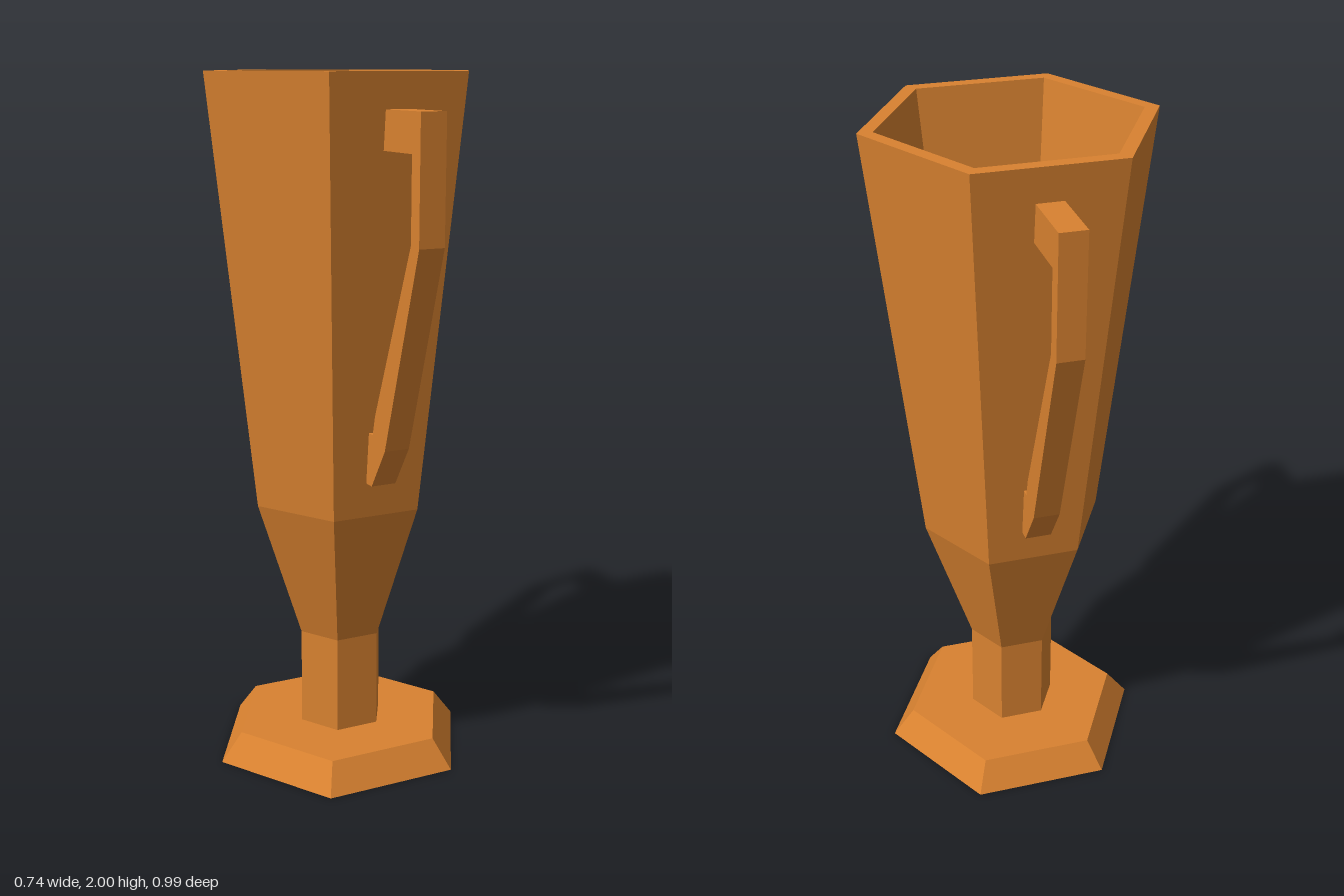
import * as THREE from 'three';

const TWIST = THREE.MathUtils.degToRad(-6.8); // angle of the first hexagon corner
const SIDES = 6;

export function createModel() {
  const bronze = new THREE.MeshStandardMaterial({ color: 0xd98230 });
  bronze.name = 'bronze';
  const trophy = new THREE.Group();
  trophy.name = 'trophyCup';

  // Faceted hexagonal solid from a [radius, height] profile
  function addHexTurned(name, profile) {
    const points = profile.map(([r, y]) => new THREE.Vector2(r, y));
    const geometry = new THREE.LatheGeometry(points, SIDES, TWIST).toNonIndexed();
    geometry.computeVertexNormals();
    const mesh = new THREE.Mesh(geometry, bronze);
    mesh.name = name;
    trophy.add(mesh);
  }

  // Bevelled foot
  addHexTurned('base', [[0, 0], [0.392, 0], [0.328, 0.083], [0, 0.083]]);

  // Straight stem
  addHexTurned('stem', [[0.13, 0.083], [0.13, 0.37]]);

  // Flared bowl with a thick rim and a hollow inside
  addHexTurned('bowl', [
    [0.13, 0.37], [0.265, 0.78], [0.404, 2],
    [0.362, 2], [0.257, 1.22], [0, 1.22],
  ]);

  // Handles: an angular strap on two opposite faces
  const width = 0.074;
  const outline = [
    [0.33, 1.905], [0.525, 1.905], [0.525, 1.567], [0.349, 1.0], [0.273, 0.882],
    [0.236, 0.882], [0.25, 1.03], [0.277, 1.03], [0.29, 1.085], [0.482, 1.572],
    [0.482, 1.8], [0.325, 1.8],
  ].map(([r, y]) => new THREE.Vector2(r, y));
  const strap = new THREE.ExtrudeGeometry(new THREE.Shape(outline), { depth: width, bevelEnabled: false });
  strap.translate(0, 0, -width / 2);

  ['frontHandle', 'backHandle'].forEach((name, i) => {
    const handle = new THREE.Mesh(strap, bronze);
    handle.name = name;
    handle.rotation.y = TWIST + Math.PI / SIDES - Math.PI / 2 + i * Math.PI;
    trophy.add(handle);
  });

  return trophy;
}
